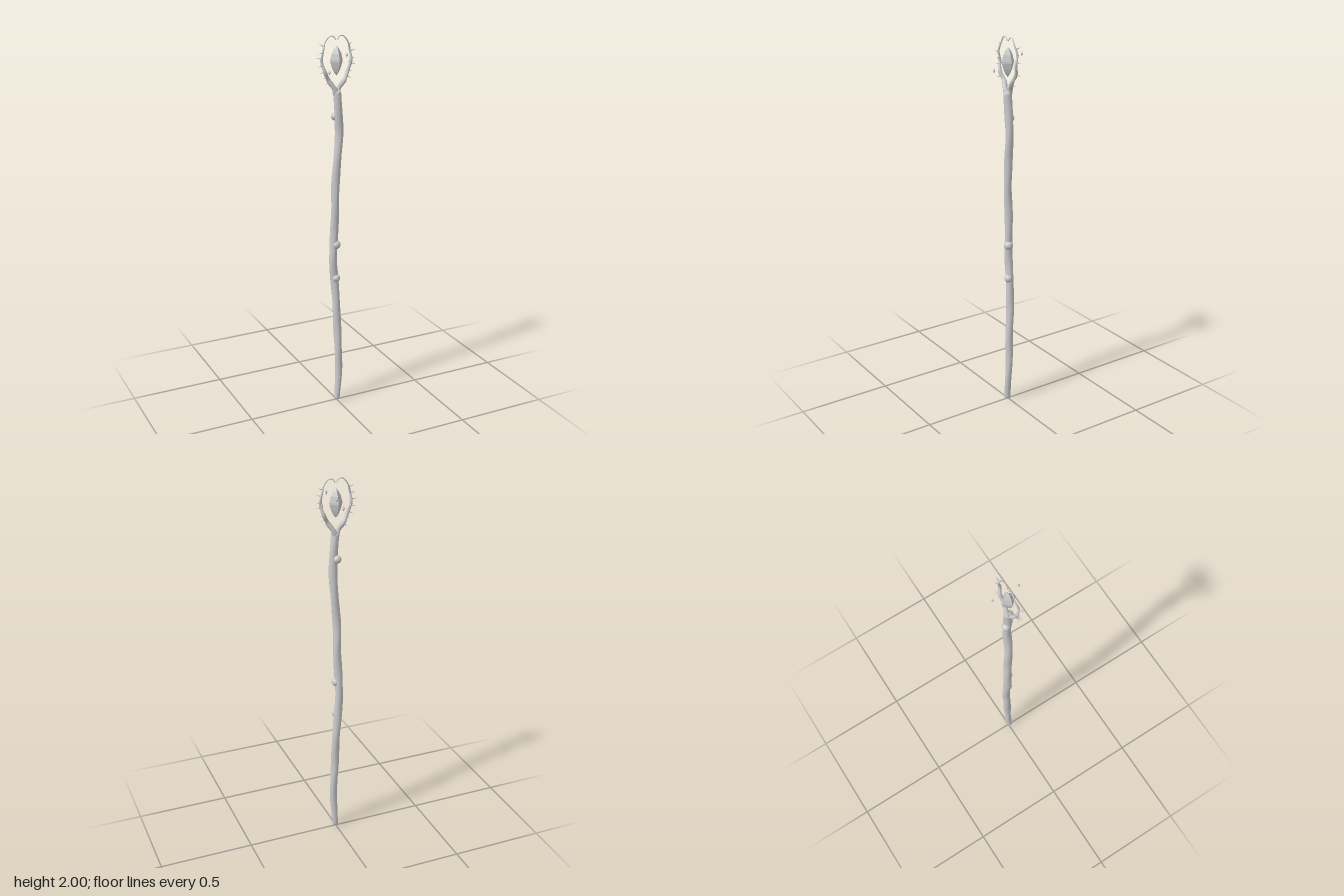
import * as THREE from 'three';

const material = new THREE.MeshStandardMaterial({ color: 0xcccccc });
const facetMaterial = new THREE.MeshStandardMaterial({ color: 0xcccccc, flatShading: true });

const curveOf = (points) => new THREE.CatmullRomCurve3(points.map((p) => new THREE.Vector3(...p)));

// Tube whose radius follows radiusAt(t) along the curve
function taperedTube(curve, segments, sides, radiusAt) {
  const geometry = new THREE.TubeGeometry(curve, segments, 1, sides, false);
  const pos = geometry.attributes.position;
  const v = new THREE.Vector3();
  for (let i = 0; i <= segments; i++) {
    const centre = curve.getPointAt(i / segments);
    for (let j = 0; j <= sides; j++) {
      const k = i * (sides + 1) + j;
      v.fromBufferAttribute(pos, k).sub(centre).multiplyScalar(radiusAt(i / segments, j / sides)).add(centre);
      pos.setXYZ(k, v.x, v.y, v.z);
    }
  }
  geometry.computeVertexNormals();
  return geometry;
}

function add(parent, name, geometry, position = [0, 0, 0], mat = material) {
  const mesh = new THREE.Mesh(geometry, mat);
  mesh.name = name;
  mesh.position.set(...position);
  parent.add(mesh);
  return mesh;
}

export function createModel() {
  const staff = new THREE.Group();
  staff.name = 'staff';

  // Crooked wooden shaft with rounded ends
  const shaftCurve = curveOf([
    [0, 0, 0.004], [0.006, 0.08, 0.004], [0.013, 0.2, 0.002], [0.008, 0.4, -0.004],
    [0.004, 0.58, -0.012], [-0.004, 0.7, -0.015], [-0.013, 0.82, -0.014],
    [-0.01, 0.93, -0.012], [-0.004, 1.08, -0.008], [-0.005, 1.22, -0.003],
    [0.006, 1.38, 0], [0.015, 1.5, 0], [0.011, 1.6, 0.002], [0.001, 1.73, 0.003],
  ]);
  const shaftRadius = (t, a) => {
    const end = Math.min(1, t / 0.008, (1 - t) / 0.008);
    const grain = 1 + 0.05 * Math.sin(t * 40 + a * Math.PI * 4);
    return (0.016 + 0.005 * Math.min(1, t * 5)) * grain * Math.sqrt(Math.max(0, 1 - (1 - end) ** 2));
  };
  add(staff, 'shaft', taperedTube(shaftCurve, 250, 16, shaftRadius));

  // Knots in the wood
  for (const [x, y, z, r] of [[0, 0.72, -0.004, 0.022], [0, 0.908, -0.004, 0.024], [-0.001, 1.59, -0.015, 0.021]]) {
    add(staff, 'knot', new THREE.SphereGeometry(r, 16, 12), [x, y, z]);
  }

  // Two thorny branches curling around the crystal
  for (const side of [-1, 1]) {
    const branch = new THREE.Group();
    branch.name = side > 0 ? 'leftBranch' : 'rightBranch';
    staff.add(branch);
    const curve = curveOf([
      [0, 1.70, 0], [0.014, 1.735, -0.005 * side], [0.04, 1.775, 0.005 * side],
      [0.064, 1.82, -0.004 * side], [0.078, 1.87, 0.005 * side], [0.075, 1.92, -0.004 * side],
      [0.06, 1.965, 0.003 * side], [0.036, 1.993, 0], [0.017, 1.992, 0], [0.003, 1.975, 0],
    ].map(([x, y, z]) => [x * side, y, z]));
    const radius = (t) => 0.002 + 0.013 * (1 - t) ** 1.3 + 0.0012 * Math.sin(t * 38) * (1 - t);
    add(branch, 'branch', taperedTube(curve, 80, 10, radius));

    // Thorns point outwards, leaning alternately forwards and backwards
    for (let i = 0; i < 7; i++) {
      const t = 0.22 + i * 0.085;
      const base = curve.getPointAt(t);
      const tangent = curve.getTangentAt(t);
      const out = new THREE.Vector3(tangent.y * side, -tangent.x * side, 0);
      out.z = i % 2 ? 0.35 : -0.35;
      out.y += 0.25 * Math.sin(i * 2.4 + side);
      out.normalize();
      const length = 0.03;
      const thorn = add(branch, 'thorn', new THREE.ConeGeometry(0.0035, length, 6));
      thorn.position.copy(base).addScaledVector(out, length / 2 + 0.002);
      thorn.quaternion.setFromUnitVectors(new THREE.Vector3(0, 1, 0), out);
    }
  }

  // Floating four-sided crystal with a curved outline
  const profile = [[0, -0.074], [0.014, -0.057], [0.025, -0.034], [0.034, -0.005],
    [0.034, 0.005], [0.026, 0.036], [0.014, 0.058], [0, 0.074]];
  const crystal = new THREE.LatheGeometry(profile.map(([x, y]) => new THREE.Vector2(x, y)), 4);
  add(staff, 'crystal', crystal, [0, 1.873, 0], facetMaterial).scale.z = 1.06;

  // Ring of small floating shards
  [1.865, 1.91, 1.825, 1.866, 1.91].forEach((y, i) => {
    const angle = (i * Math.PI * 2) / 5;
    const shard = add(staff, 'shard', new THREE.OctahedronGeometry(0.007),
      [0.072 * Math.cos(angle), y, 0.072 * Math.sin(angle)], facetMaterial);
    shard.scale.y = 2;
  });

  return staff;
}
